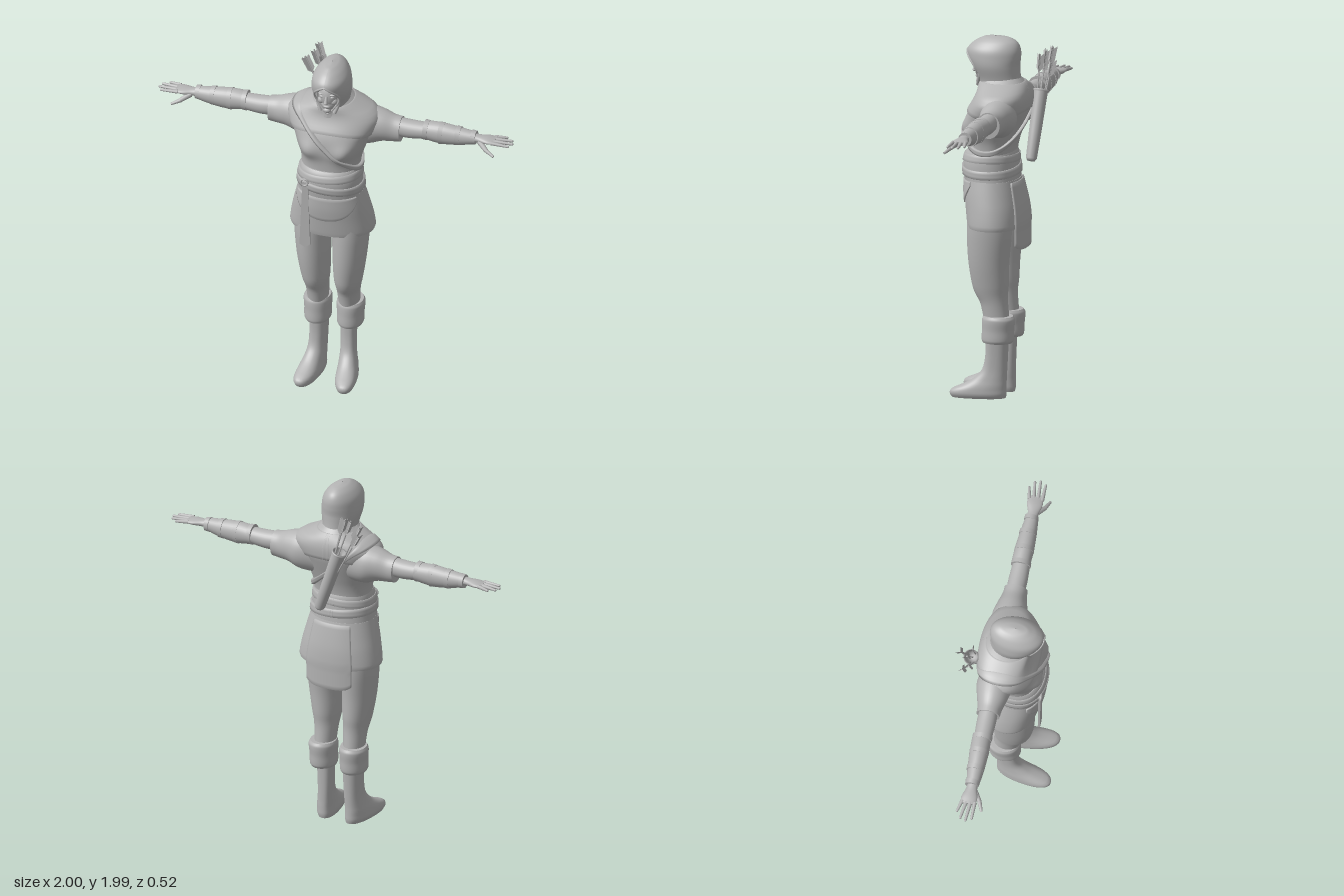
import * as THREE from 'three';

const V = (x, y, z) => new THREE.Vector3(x, y, z);
const stone = new THREE.MeshStandardMaterial({ color: 0xb4b4b4, side: THREE.DoubleSide });
stone.name = 'stone grey';

function mesh(parent, name, geo) {
  const m = new THREE.Mesh(geo, stone);
  m.name = name;
  parent.add(m);
  return m;
}

// Smoothly interpolated section values at t; rows are [t, halfWidth, front, back, centre]
function at(rows, t) {
  const n = rows.length - 1;
  const k = THREE.MathUtils.clamp(t, rows[0][0], rows[n][0]);
  let i = 0;
  while (i < n - 1 && k > rows[i + 1][0]) i++;
  const h = rows[i + 1][0] - rows[i][0], s = (k - rows[i][0]) / h;
  const slope = (j, c) => {
    const p = rows[Math.max(j - 1, 0)], q = rows[Math.min(j + 1, n)];
    return ((q[c] ?? 0) - (p[c] ?? 0)) / (q[0] - p[0]);
  };
  return [1, 2, 3, 4].map((c) => {
    const p = rows[i][c] ?? 0, q = rows[i + 1][c] ?? 0, d = s * s * (3 - 2 * s);
    return p + (q - p) * d + h * (slope(i, c) * s * (1 - s) ** 2 - slope(i + 1, c) * s * s * (1 - s));
  });
}

// Upright surface: angle a runs from the front (0) round the body
const upright = (rows, e = 1) => (a, y) => {
  const [r, f, b, c] = at(rows, y);
  const sn = Math.sin(a), cs = Math.cos(a);
  return V(c + r * Math.sign(sn) * Math.abs(sn) ** e, y, (f + b) / 2 + (f - b) / 2 * Math.sign(cs) * Math.abs(cs) ** e);
};
// Sideways surface along x for the arms
const sideways = (rows, s) => (a, x) => {
  const [r, top, bot, c] = at(rows, x);
  return V(s * x, (top + bot) / 2 + (top - bot) / 2 * Math.cos(a), c + r * Math.sin(a));
};

function grid(pts, closed) {
  const nu = pts[0].length, pos = [], idx = [];
  pts.forEach((row) => row.forEach((p) => pos.push(p.x, p.y, p.z)));
  for (let j = 0; j < pts.length - 1; j++) {
    for (let i = 0; i < (closed ? nu : nu - 1); i++) {
      const k = (i + 1) % nu, a = j * nu + i, b = j * nu + k, c = a + nu, d = b + nu;
      idx.push(a, b, d, a, d, c);
    }
  }
  const g = new THREE.BufferGeometry();
  g.setAttribute('position', new THREE.Float32BufferAttribute(pos, 3));
  g.setIndex(idx);
  g.computeVertexNormals();
  return g;
}

// Closed loft with flat, sharp-edged ends
function loft(fn, t0, t1, nv = 24, nu = 40) {
  const ring = (t) => Array.from({ length: nu }, (_, i) => fn(i / nu * Math.PI * 2, t));
  const cap = (t) => {
    const r = ring(t), c = V(0, 0, 0);
    r.forEach((p) => c.addScaledVector(p, 1 / nu));
    return [r.map(() => c.clone()), r];
  };
  const body = Array.from({ length: nv + 1 }, (_, j) => ring(t0 + (t1 - t0) * j / nv));
  return grid([...cap(t0), ...body, ...cap(t1).reverse()], true);
}

// Cloth layer lying on a surface, its border turned inward
function wrap(fn, a0, a1, top, bot, off, nu = 48, nv = 8) {
  const pts = [];
  for (let j = -1; j <= nv + 1; j++) {
    const row = [];
    for (let i = -1; i <= nu + 1; i++) {
      const a = a0 + (a1 - a0) * THREE.MathUtils.clamp(i / nu, 0, 1);
      const y = bot(a) + (top(a) - bot(a)) * THREE.MathUtils.clamp(j / nv, 0, 1);
      const d = i < 0 || i > nu || j < 0 || j > nv ? 0 : off;
      row.push(fn(a, y).add(V(Math.sin(a) * d, 0, Math.cos(a) * d)));
    }
    pts.push(row);
  }
  return grid(pts, false);
}

function rod(parent, name, p, q, r0, r1, sides = 10) {
  const m = mesh(parent, name, new THREE.CylinderGeometry(r1, r0, p.distanceTo(q), sides));
  m.position.copy(p).lerp(q, 0.5);
  m.quaternion.setFromUnitVectors(V(0, 1, 0), q.clone().sub(p).normalize());
  return m;
}

function ball(parent, name, x, y, z, sx, sy, sz) {
  const m = mesh(parent, name, new THREE.SphereGeometry(1, 24, 16));
  m.position.set(x, y, z);
  m.scale.set(sx, sy, sz);
  return m;
}

function addLimbs(root, s) {
  const side = new THREE.Group();
  side.name = s > 0 ? 'leftLimbs' : 'rightLimbs';
  root.add(side);
  // Arm
  const arm = (name, rows) => mesh(side, name, loft(sideways(rows, s), rows[0][0], rows.at(-1)[0], 20, 32));
  arm('sleeve', [[.1, .09, 1.70, 1.46, -.04], [.2, .098, 1.69, 1.47, -.05], [.27, .083, 1.675, 1.495, -.05],
    [.33, .067, 1.655, 1.5, -.05], [.37, .064, 1.65, 1.505, -.05]]);
  arm('upperArm', [[.34, .05, 1.645, 1.54, -.05], [.42, .052, 1.64, 1.537, -.05], [.53, .046, 1.638, 1.55, -.05]]);
  arm('bracer', [[.5, .052, 1.648, 1.545, -.055], [.6, .052, 1.653, 1.532, -.052], [.7, .045, 1.643, 1.543, -.05], [.79, .034, 1.633, 1.565, -.048]]);
  [[.5, .055, 1.655, 1.54], [.585, .054, 1.657, 1.528], [.68, .049, 1.65, 1.538], [.765, .039, 1.64, 1.558]].forEach(([x, r, t, b]) =>
    arm('bracerBand', [[x, r, t, b, -.052], [x + .025, r - .002, t - .003, b + .003, -.052]]));
  // Hand
  arm('palm', [[.77, .028, 1.625, 1.575, -.048], [.81, .03, 1.62, 1.58, -.048], [.86, .043, 1.617, 1.584, -.05], [.9, .041, 1.611, 1.59, -.052]]);
  [[.95, -.1], [.985, -.075], [.994, -.045], [.978, -.014]].forEach(([x, z], i) => {
    const base = V(s * .885, 1.602, -.084 + i * .023), tip = V(s * x, 1.598, z);
    rod(side, 'finger', base, tip, .011, .007);
    ball(side, 'fingertip', tip.x, tip.y, tip.z, .007, .007, .007);
  });
  rod(side, 'thumb', V(s * .815, 1.59, -.03), V(s * .865, 1.563, .008), .016, .012);
  rod(side, 'thumbEnd', V(s * .863, 1.564, .006), V(s * .91, 1.545, .027), .012, .007);
  // Leg
  const leg = (name, rows, e = 1, skew = 0) => {
    const f = upright(rows.map(([y, r, zf, zb, c]) => [y, r, zf, zb, c]), e);
    const g = (a, y) => { const p = f(a, y); return V(s * (p.x + skew * p.z), p.y, p.z); };
    mesh(side, name, loft(g, rows[0][0], rows.at(-1)[0], 32));
  };
  leg('trouserLeg', [[.42, .055, .06, -.08, .088], [.53, .063, .085, -.07, .088], [.575, .069, .11, -.07, .09], [.62, .077, .126, -.075, .092],
    [.75, .09, .145, -.08, .1], [.9, .099, .152, -.095, .106], [1.02, .103, .15, -.1, .106]]);
  leg('bootCuff', [[.31, .066, .068, -.095, .092], [.325, .073, .073, -.103, .092], [.38, .074, .072, -.106, .092], [.44, .077, .07, -.11, .093], [.458, .07, .062, -.1, .092]]);
  leg('boot', [[0, .052, .235, -.055, .088], [.02, .06, .245, -.06, .09], [.045, .059, .235, -.06, .09], [.07, .055, .18, -.06, .09],
    [.1, .05, .125, -.06, .088], [.15, .045, .075, -.062, .086], [.22, .045, .055, -.065, .085], [.33, .048, .05, -.07, .085]], .85, .14);
}

function addHead(root) {
  const head = new THREE.Group();
  head.name = 'head';
  root.add(head);
  // Hood with a pointed oval opening
  const hood = upright([[1.68, .12, .12, -.15], [1.71, .097, .118, -.135], [1.75, .092, .122, -.117], [1.83, .107, .16, -.11], [1.88, .105, .18, -.115],
    [1.92, .096, .178, -.114], [1.955, .073, .145, -.1], [1.975, .05, .11, -.075], [1.988, .024, .075, -.035], [1.991, .002, .03, .02]]);
  const gap = (y) => {
    const k = THREE.MathUtils.clamp((y - 1.71) / .2, 0, 1);
    return Math.asin(.072 * Math.sin(Math.PI * k ** 1.1) ** .7 / .108);
  };
  const rows = Array.from({ length: 61 }, (_, j) => {
    const y = 1.68 + .311 * j / 60, g = gap(y);
    return Array.from({ length: 49 }, (_, i) => hood(g + (Math.PI * 2 - 2 * g) * i / 48, y));
  });
  mesh(head, 'hood', grid(rows, false));
  const rim = [];
  for (let i = 0; i < 32; i++) {
    const t = i / 32 * Math.PI * 2, y = 1.81 - .1 * Math.cos(t);
    rim.push(hood(Math.sign(Math.sin(t)) * gap(y), y));
  }
  mesh(head, 'hoodRim', new THREE.TubeGeometry(new THREE.CatmullRomCurve3(rim, true), 80, .006, 8, true));
  // Face
  ball(head, 'face', 0, 1.815, .05, .07, .098, .088);
  ball(head, 'jaw', 0, 1.765, .07, .048, .05, .065);
  ball(head, 'neck', 0, 1.71, .03, .06, .09, .07);
  rod(head, 'nose', V(0, 1.83, .132), V(0, 1.793, .146), .006, .011);
  ball(head, 'noseTip', 0, 1.792, .145, .012, .009, .011);
  ball(head, 'lips', 0, 1.762, .13, .02, .008, .009);
  ball(head, 'chin', 0, 1.735, .12, .022, .016, .018);
  [-1, 1].forEach((s) => {
    ball(head, 'eye', s * .027, 1.822, .125, .014, .007, .009);
    ball(head, 'brow', s * .029, 1.838, .125, .02, .005, .01).rotation.z = s * .12;
    ball(head, 'cheek', s * .034, 1.79, .108, .022, .022, .02);
    mesh(head, 'hairLock', new THREE.TubeGeometry(new THREE.CatmullRomCurve3(
      [V(s * .015, 1.895, .125), V(s * .055, 1.85, .105), V(s * .06, 1.78, .1), V(s * .04, 1.72, .115)]), 20, .01, 8));
  });
}

function addQuiver(root) {
  const q = new THREE.Group(), lo = V(.03, 1.325, -.185), hi = V(-.1, 1.685, -.2);
  q.name = 'quiver';
  q.position.copy(lo);
  q.quaternion.setFromUnitVectors(V(0, 1, 0), hi.clone().sub(lo).normalize());
  root.add(q);
  const profile = [[0, -.012], [.02, -.01], [.03, .005], [.034, .15], [.038, .37], [.042, .372], [.042, .383], [.034, .383], [.031, .3], [0, .3]];
  mesh(q, 'quiverCase', new THREE.LatheGeometry(profile.map(([x, y]) => new THREE.Vector2(x, y)), 28));
  // Arrows with three feathers each
  [[0, 0, .6], [.5, .3, .57], [-.6, .3, .58], [.2, -.6, .62], [-.9, -.3, .56]].forEach(([x, z, top]) => {
    const arrow = new THREE.Group();
    arrow.name = 'arrow';
    arrow.position.set(x * .025, .2, z * .025);
    arrow.rotation.set(z * .1, 0, -x * .17);
    q.add(arrow);
    rod(arrow, 'shaft', V(0, 0, 0), V(0, top - .2, 0), .004, .004, 6);
    const s = new THREE.Shape([[0, -.1], [.022, -.075], [.024, .005], [0, -.015]].map(([u, v]) => new THREE.Vector2(u, v)));
    for (let i = 0; i < 3; i++) {
      const f = mesh(arrow, 'feather', new THREE.ShapeGeometry(s));
      f.position.y = top - .2;
      f.rotation.y = i * Math.PI * 2 / 3;
    }
  });
}

export function createModel() {
  const root = new THREE.Group();
  root.name = 'hoodedArcher';
  // Torso with bust
  const trunk = upright([[1.28, .165, .165, -.085], [1.36, .162, .165, -.088], [1.42, .168, .168, -.1], [1.48, .188, .176, -.12], [1.55, .212, .172, -.145],
    [1.6, .235, .155, -.16], [1.66, .245, .12, -.166], [1.7, .2, .105, -.158], [1.73, .13, .105, -.143], [1.77, .08, .09, -.11]], .9);
  const torso = (a, y) => {
    const w = Math.atan2(Math.sin(a), Math.cos(a));
    return trunk(a, y).add(V(0, 0, .028 * Math.exp(-(((Math.abs(w) - .55) / .35) ** 2) - ((y - 1.49) / .055) ** 2)));
  };
  mesh(root, 'torso', loft(torso, 1.28, 1.77, 40, 56));
  mesh(root, 'mantle', wrap(torso, -3.2, 3.2, () => 1.745, (a) => 1.585 + .015 * Math.cos(2 * a), .009, 64));
  // Shoulder strap running round the body on a slant
  const slant = (a) => {
    let y = 1.5;
    for (let i = 0; i < 80; i++) y += .2 * (1.52 - .94 * torso(a, y).x - y);
    return y;
  };
  mesh(root, 'quiverStrap', wrap(torso, -3.2, 3.2, (a) => slant(a) + .014, (a) => slant(a) - .014, .016, 96, 3));
  // Skirt, apron and back panel
  const skirt = upright([[.95, .232, .165, -.148], [.965, .236, .168, -.15], [1.05, .222, .178, -.143], [1.13, .203, .187, -.128], [1.21, .182, .188, -.11]], .92);
  mesh(root, 'skirt', loft(skirt, .95, 1.21, 20, 56));
  mesh(root, 'apron', wrap(skirt, -1.05, 1.05, () => 1.205, (a) => 1.06 + .11 * a * a, .007));
  mesh(root, 'backPanel', wrap(skirt, Math.PI - .58, Math.PI + .58, () => 1.2, (a) => .83 + .25 * Math.abs(a - Math.PI) ** 4, .009, 24, 16));
  // Sash and belts
  const sash = upright([[1.19, .183, .186, -.11], [1.25, .178, .194, -.104], [1.3, .175, .196, -.1], [1.35, .167, .184, -.094], [1.365, .162, .172, -.088]], .92);
  mesh(root, 'sash', loft(sash, 1.19, 1.365, 16, 56));
  mesh(root, 'belt', wrap(sash, -3.2, 3.2, (a) => 1.282 - .012 * Math.sin(a), (a) => 1.238 - .012 * Math.sin(a), .009, 64, 3));
  mesh(root, 'upperBelt', wrap(sash, -3.2, 3.2, (a) => 1.345 + .01 * Math.sin(a), (a) => 1.305 + .01 * Math.sin(a), .006, 64, 3));
  const buckle = mesh(root, 'buckle', new THREE.TorusGeometry(.02, .005, 8, 20));
  buckle.position.set(-.108, 1.29, .188);
  const tail = new THREE.Shape([[-.014, .2], [.016, .2], [.03, -.195], [0, -.215], [-.03, -.2]].map(([x, y]) => new THREE.Vector2(x, y)));
  const belt = mesh(root, 'beltTail', new THREE.ExtrudeGeometry(tail, { depth: .012, bevelEnabled: false }));
  belt.position.set(-.106, 1.09, .175);
  addHead(root);
  addQuiver(root);
  [-1, 1].forEach((s) => addLimbs(root, s));
  return root;
}
